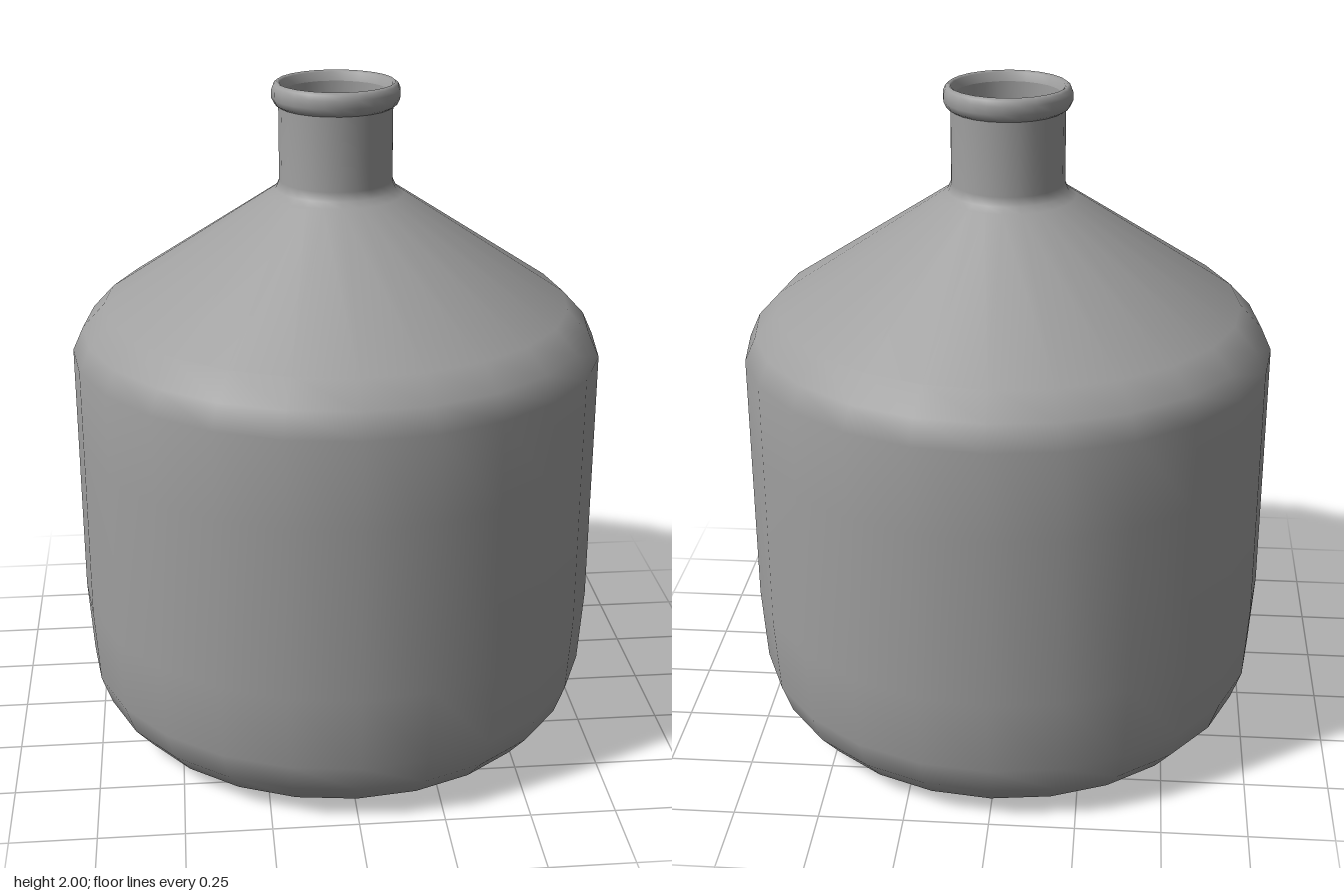
import * as THREE from 'three';

const SIDES = 24;
const material = new THREE.MeshStandardMaterial({ color: 0x9f9f9f, side: THREE.DoubleSide });

// Revolve a radius/height profile around the vertical axis
function revolve(name, profile) {
  const points = profile.map(([r, y]) => new THREE.Vector2(r, y));
  const mesh = new THREE.Mesh(new THREE.LatheGeometry(points, SIDES), material);
  mesh.name = name;
  return mesh;
}

export function createModel() {
  const group = new THREE.Group();
  group.name = 'bottle';

  // Flat base, rounded heel, straight wall, conical shoulder and neck
  group.add(revolve('body', [
    [0, 0], [0.585, 0], [0.68, 0.04], [0.74, 0.11], [0.772, 0.2], [0.787, 0.43],
    [0.787, 0.95], [0.787, 1.21], [0.755, 1.28], [0.69, 1.35],
    [0.2, 1.675], [0.177, 1.69], [0.166, 1.715], [0.166, 1.94],
  ]));

  // Rolled rim that turns over and slopes into the mouth
  group.add(revolve('lip', [
    [0.166, 1.93], [0.177, 1.937], [0.186, 1.955], [0.186, 1.978],
    [0.18, 1.993], [0.171, 2], [0.163, 1.995], [0.155, 1.97],
  ]));

  // Inside of the neck, flaring to meet the shoulder
  group.add(revolve('neckLining', [[0.155, 1.97], [0.155, 1.72], [0.165, 1.692], [0.19, 1.675]]));

  // Inner floor
  group.add(revolve('innerFloor', [[0.6, 0.015], [0, 0.015]]));

  return group;
}
